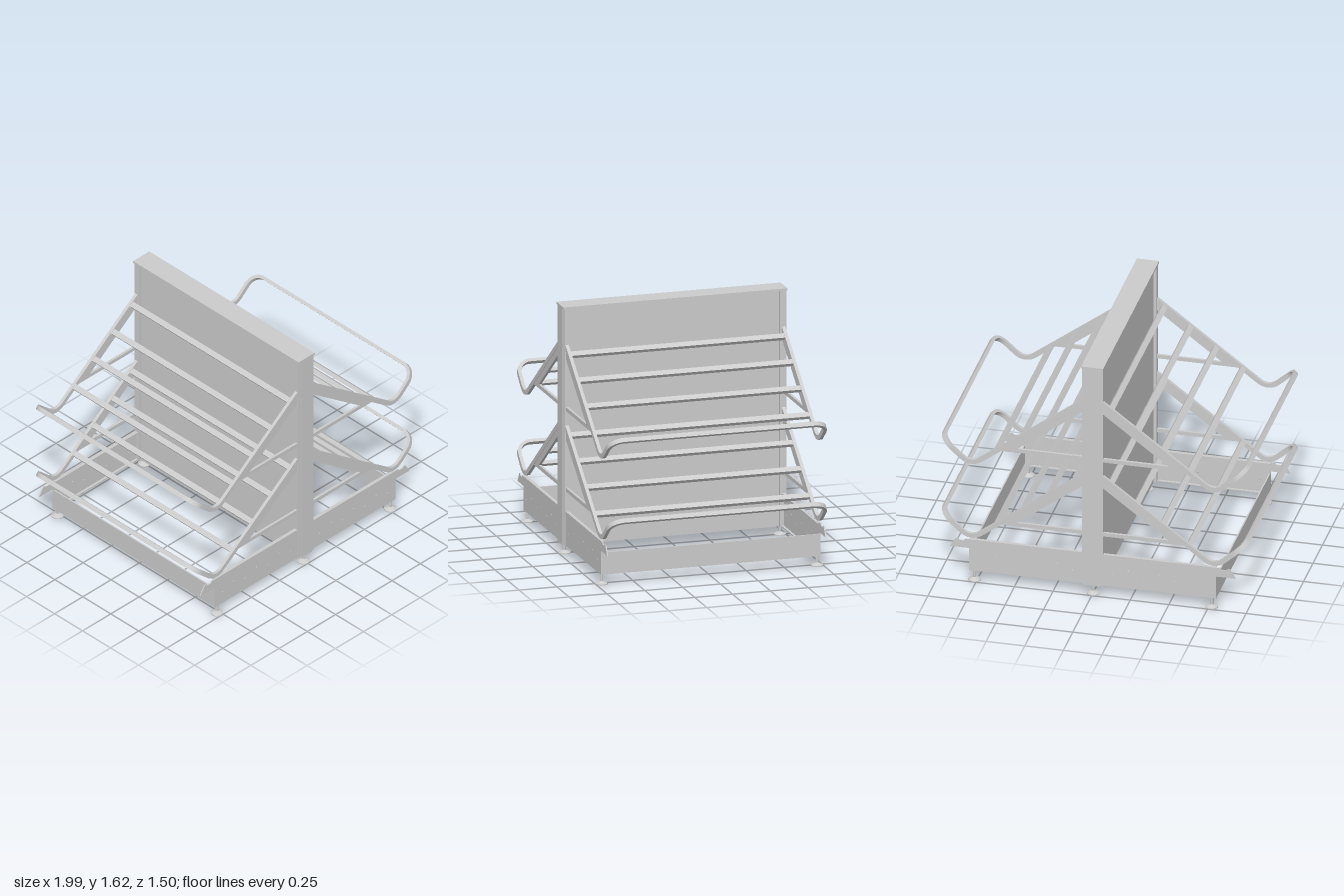
import * as THREE from 'three';
import { toCreasedNormals } from 'three/addons/utils/BufferGeometryUtils.js';

const material = new THREE.MeshStandardMaterial({ color: 0xcccccc, side: THREE.DoubleSide });

function add(parent, name, geometry, x = 0, y = 0, z = 0) {
  const mesh = new THREE.Mesh(geometry, material);
  mesh.name = name;
  mesh.position.set(x, y, z);
  parent.add(mesh);
  return mesh;
}

// Box given by its limits on each axis
function box(parent, name, [x0, x1], [y0, y1], [z0, z1]) {
  return add(parent, name, new THREE.BoxGeometry(x1 - x0, y1 - y0, z1 - z0),
    (x0 + x1) / 2, (y0 + y1) / 2, (z0 + z1) / 2);
}

// Flat plate in the xy plane, centred on its own z
function plate(points, depth, holes = []) {
  const shape = new THREE.Shape(points.map(([x, y]) => new THREE.Vector2(x, y)));
  for (const [x, y, r] of holes) shape.holes.push(new THREE.Path().absarc(x, y, r, 0, Math.PI * 2, true));
  return new THREE.ExtrudeGeometry(shape, { depth, bevelEnabled: false, curveSegments: 4 })
    .translate(0, 0, -depth / 2);
}

// Rectangular bar swept along stations of point p and section normal n
function sweepBar(stations, height, width) {
  const pos = [], index = [];
  const dir = (i) => stations[i + 1].p.clone().sub(stations[i].p).normalize();
  const last = stations.length - 1;
  stations.forEach(({ p, n }, i) => {
    const t = dir(Math.max(i - 1, 0)).add(dir(Math.min(i, last - 1))).normalize();
    const b = t.cross(n).normalize();
    for (const [u, v] of [[1, -1], [1, 1], [-1, 1], [-1, -1]]) {
      const q = p.clone().addScaledVector(n, u * height / 2).addScaledVector(b, v * width / 2);
      pos.push(q.x, q.y, q.z);
    }
    if (i === last) return;
    for (let k = 0; k < 4; k++) {
      const a = i * 4 + k, c = i * 4 + (k + 1) % 4;
      index.push(a, c, c + 4, a, c + 4, a + 4);
    }
  });
  const g = new THREE.BufferGeometry();
  g.setAttribute('position', new THREE.Float32BufferAttribute(pos, 3));
  g.setIndex(index);
  return toCreasedNormals(g, 0.6);
}

const SLOPE = 0.75, RAIL_Z = 0.715;
const railY = (x) => 1.4075 - SLOPE * x;

// Stations of the U-shaped rail: down the slope, round the trough, up the lip and across
function railStations() {
  const a1 = -Math.atan(SLOPE), a2 = Math.atan(0.9);
  const bend = 0.095, corner = 0.09;
  const vertex = new THREE.Vector3(0.79, railY(0.79), RAIL_Z);
  const heading = (a) => new THREE.Vector3(Math.cos(a), Math.sin(a), 0);
  const normal = (a) => new THREE.Vector3(-Math.sin(a), Math.cos(a), 0);
  const side = [{ p: new THREE.Vector3(0.04, railY(0.04), RAIL_Z), n: normal(a1) }];
  const centre = vertex.clone()
    .addScaledVector(heading(a1), -bend * Math.tan((a2 - a1) / 2))
    .addScaledVector(normal(a1), bend);
  for (let i = 0; i <= 10; i++) {
    const n = normal(a1 + (a2 - a1) * i / 10);
    side.push({ p: centre.clone().addScaledVector(n, -bend), n });
  }
  const tip = new THREE.Vector3(0.979, 0.984, RAIL_Z);
  for (let i = 0; i <= 8; i++) {
    const a = i / 8 * Math.PI / 2;
    const p = tip.clone().addScaledVector(heading(a2), corner * (Math.sin(a) - 1));
    p.z -= corner * (1 - Math.cos(a));
    side.push({ p, n: normal(a2) });
  }
  const other = side.map(({ p, n }) => ({ p: new THREE.Vector3(p.x, p.y, -p.z), n })).reverse();
  return [...side, ...other];
}

// Sloping shelf on the +x side
function createRack() {
  const rack = new THREE.Group();
  add(rack, 'shelfRail', sweepBar(railStations(), 0.03, 0.022));
  const bracket = plate([[0.04, railY(0.04)], [0.04, 1.3075], [0.49, 0.97],
    [0.04, 0.97], [0.04, 0.945], [0.617, 0.945]], 0.017);
  for (const s of [-1, 1]) {
    add(rack, 'shelfBracket', bracket, 0, 0, s * RAIL_Z);
    box(rack, 'bracketHook', [0.04, 0.066], [1.24, 1.42], [s * 0.71 - 0.008, s * 0.71 + 0.008]);
  }
  for (const x of [0.115, 0.282, 0.45, 0.622]) {
    const bar = add(rack, 'crossBar', new THREE.BoxGeometry(0.036, 0.025, 1.412), x, railY(x), 0);
    bar.rotation.z = -Math.atan(SLOPE);
  }
  return rack;
}

export function createModel() {
  const model = new THREE.Group();
  model.name = 'displayStand';

  // Central wall of two sheets, with its cap
  for (const s of [-1, 1]) {
    box(model, 'wallSheet', [s * 0.045 - 0.004, s * 0.045 + 0.004], [0.065, 1.615], [-0.695, 0.695]);
  }
  box(model, 'topCap', [-0.072, 0.072], [1.608, 1.622], [-0.741, 0.741]);

  // Upright posts with stepped faces
  for (const s of [-1, 1]) {
    const post = new THREE.Group();
    post.name = 'post';
    box(post, 'postBody', [-0.048, 0.048], [0.065, 1.61], [0.692, 0.74]);
    box(post, 'postFlange', [-0.068, 0.068], [0.065, 1.61], [0.69, 0.733]);
    post.rotation.y = s > 0 ? 0 : Math.PI;
    model.add(post);
  }

  // Two shelves on each side
  for (const [name, turn] of [['leftShelf', 0], ['rightShelf', Math.PI]]) {
    for (const drop of [0, 0.527]) {
      const rack = createRack();
      rack.name = name;
      rack.rotation.y = turn;
      rack.position.y = -drop;
      model.add(rack);
    }
  }

  // Base beams with end tabs and small bolt holes
  const holes = [];
  for (let i = 0; i < 7; i++) holes.push([0.13 + i * 0.1, i % 2 ? 0.19 : 0.155, 0.005]);
  const beam = plate([[0.04, 0.068], [0.8, 0.068], [0.8, 0.225], [0.925, 0.225], [0.888, 0.285],
    [0.875, 0.285], [0.865, 0.275], [0.835, 0.275], [0.825, 0.288], [0.04, 0.288]], 0.008, holes);
  const base = new THREE.Group();
  base.name = 'base';
  model.add(base);
  for (const turn of [0, Math.PI]) {
    const half = new THREE.Group();
    half.name = 'baseHalf';
    half.rotation.y = turn;
    base.add(half);
    for (const s of [-1, 1]) {
      add(half, 'baseBeam', beam, 0, 0, s * 0.721);
      for (const y of [0.072, 0.284]) {
        box(half, 'beamFlange', [0.04, 0.8], [y - 0.003, y + 0.003], [s * 0.711 - 0.01, s * 0.711 + 0.01]);
      }
    }
    box(half, 'endPanel', [0.79, 0.799], [0.068, 0.212], [-0.718, 0.718]);
  }

  // Levelling feet
  const foot = new THREE.LatheGeometry([[0, 0], [0.04, 0], [0.04, 0.006], [0.014, 0.018], [0.01, 0.02],
    [0.01, 0.08], [0, 0.08]].map(([x, y]) => new THREE.Vector2(x, y)), 20);
  const footGeometry = toCreasedNormals(foot, 0.5);
  for (const x of [-0.768, 0, 0.768]) {
    for (const z of [-0.712, 0.712]) add(model, 'foot', footGeometry, x, 0, z);
  }
  return model;
}
